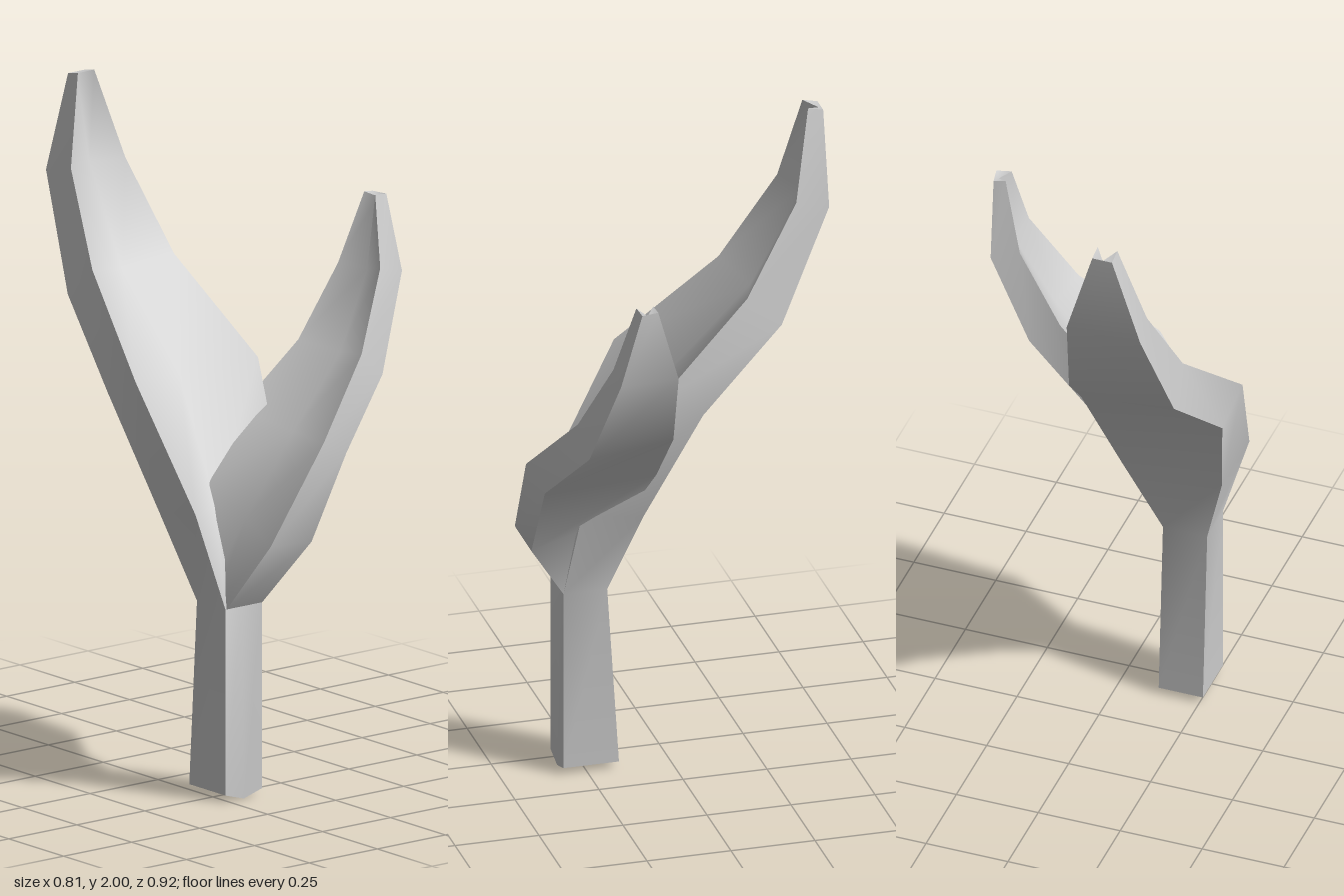
import * as THREE from 'three';
import { mergeGeometries } from 'three/addons/utils/BufferGeometryUtils.js';

const material = new THREE.MeshStandardMaterial({ color: 0xcccccc, side: THREE.DoubleSide });

function finish(pos, index) {
  const g = new THREE.BufferGeometry();
  g.setAttribute('position', new THREE.Float32BufferAttribute(pos, 3));
  g.setIndex(index);
  g.computeVertexNormals();
  return g;
}

// Smooth band running along the rows through the given section corners
function strip(rows, corners) {
  const pos = [], index = [], n = corners.length;
  for (const row of rows) for (const c of corners) pos.push(...row[c]);
  for (let r = 0; r < rows.length - 1; r++) {
    for (let i = 0; i < n - 1; i++) {
      const a = r * n + i, b = a + 1, c = b + n, d = a + n;
      index.push(a, b, c, a, c, d);
    }
  }
  return finish(pos, index);
}

// Thick blade, open at the foot and closed at the tip by a fan from the groove.
// Each row is [upper left, groove, upper right, lower right, lower left]
function blade(name, rows) {
  const bands = [[0, 1, 2], [2, 3], [3, 4], [4, 0]].map(c => strip(rows, c));
  const tip = finish(rows[rows.length - 1].flat(), [1, 2, 3, 1, 3, 4, 1, 4, 0]);
  const mesh = new THREE.Mesh(mergeGeometries([...bands, tip]), material);
  mesh.name = name;
  return mesh;
}

export function createModel() {
  const group = new THREE.Group();
  group.name = 'sprout';

  // Stem and tall leaf: upper [left, right, y, z], lower [left, right, y, z], groove [y, z]
  const tall = [
    [[-0.26, -0.125, 0.02, 0.32], [-0.26, -0.125, 0.02, 0.155], [0, 0.32]],
    [[-0.26, -0.125, 0.57, 0.32], [-0.26, -0.125, 0.57, 0.19], [0.57, 0.31]],
    [[-0.35, -0.02, 0.86, 0.295], [-0.335, -0.03, 0.83, 0.11], [0.84, 0.18]],
    [[-0.405, 0.045, 1.22, 0.09], [-0.395, 0.035, 1.16, -0.05], [1.19, 0.01]],
    [[-0.33, -0.03, 1.48, -0.2], [-0.34, -0.02, 1.39, -0.3], [1.45, -0.25]],
    [[-0.28, -0.08, 1.74, -0.36], [-0.295, -0.07, 1.72, -0.455], [1.735, -0.4]],
    [[-0.21, -0.15, 2, -0.415], [-0.21, -0.15, 1.99, -0.46], [1.985, -0.455]],
  ];
  group.add(blade('stemAndTallLeaf', tall.map(([u, l, [gy, gz]]) => [
    [u[0], u[2], u[3]], [(u[0] + u[1]) / 2, gy, gz], [u[1], u[2], u[3]],
    [l[1], l[2], l[3]], [l[0], l[2], l[3]],
  ])));

  // Short leaf: upper back, upper front, lower front, lower back, groove depth
  const short = [
    [[-0.25, 0.58, 0.21], [-0.255, 0.57, 0.32], [-0.125, 0.57, 0.32], [-0.14, 0.57, 0.21], 0],
    [[-0.19, 0.9, 0.14], [-0.195, 0.77, 0.445], [-0.04, 0.76, 0.44], [-0.1, 0.82, 0.13], 0.03],
    [[-0.03, 1.08, 0.095], [-0.015, 1.05, 0.463], [0.09, 1, 0.437], [0.055, 1, 0.095], 0.045],
    [[0.165, 1.26, 0.125], [0.2, 1.26, 0.37], [0.285, 1.185, 0.36], [0.25, 1.2, 0.1], 0.04],
    [[0.295, 1.47, 0.145], [0.325, 1.48, 0.3], [0.405, 1.46, 0.3], [0.375, 1.45, 0.12], 0.03],
    [[0.355, 1.68, 0.19], [0.355, 1.68, 0.24], [0.4, 1.675, 0.235], [0.39, 1.675, 0.185], 0.03],
  ];
  group.add(blade('shortLeaf', short.map(([ub, uf, lf, lb, d]) => [
    ub, [(ub[0] + uf[0]) / 2 + d, (ub[1] + uf[1]) / 2 - d / 2, (ub[2] + uf[2]) / 2], uf, lf, lb,
  ])));

  return group;
}
